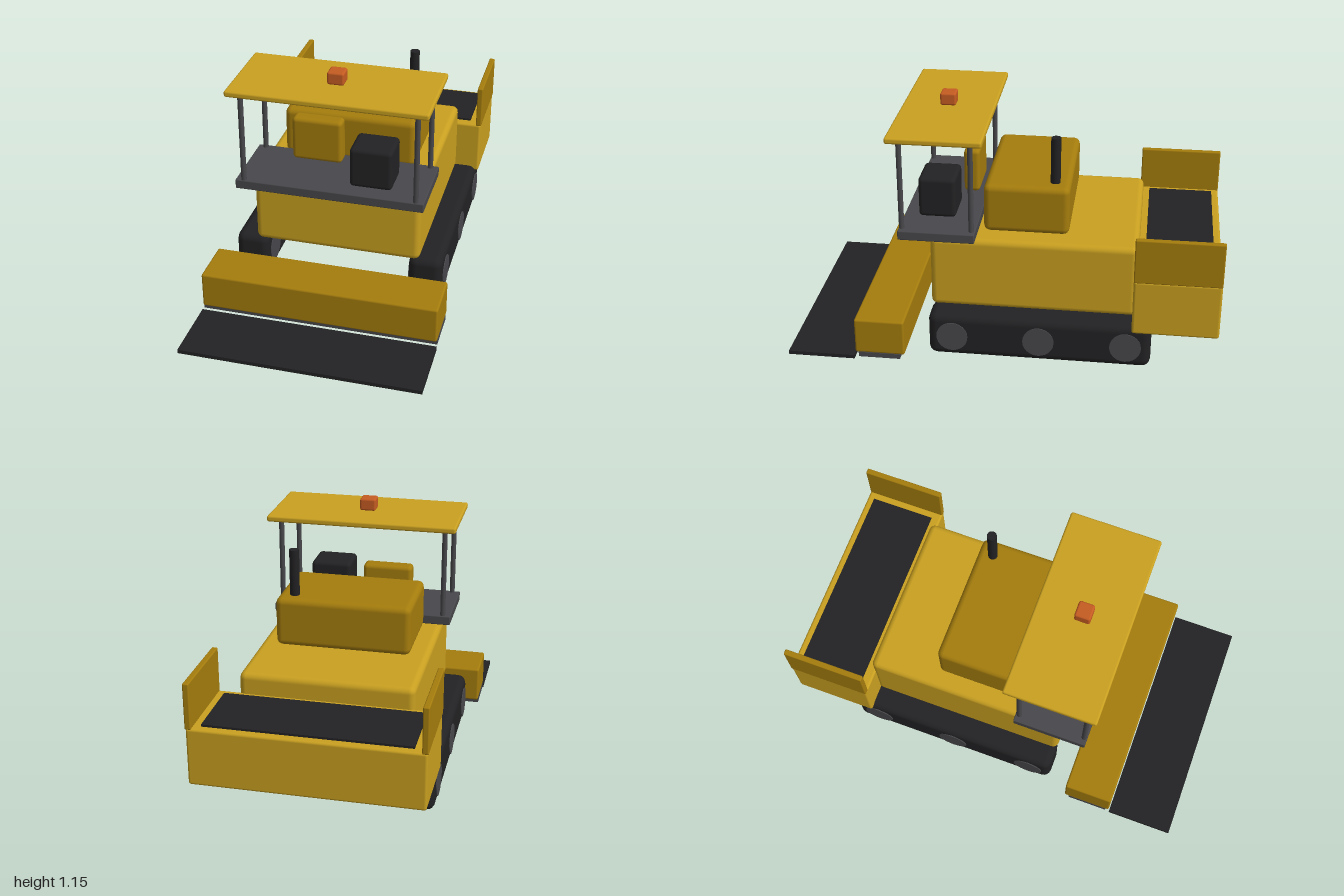
import * as THREE from 'three';
import { RoundedBoxGeometry } from 'three/addons/geometries/RoundedBoxGeometry.js';

const material = (name, color) => {
  const m = new THREE.MeshStandardMaterial({ color });
  m.name = name;
  return m;
};

export function createModel() {
  const model = new THREE.Group();
  model.name = 'roadPaver';

  const yellow = material('machine yellow', 0xc9a020);
  const amber = material('dark amber', 0xa57d0d);
  const black = material('rubber black', 0x222224);
  const grey = material('steel grey', 0x48484c);
  const orange = material('beacon orange', 0xc65c22);

  const add = (name, geometry, mat) => {
    const mesh = new THREE.Mesh(geometry, mat);
    mesh.name = name;
    model.add(mesh);
    return mesh;
  };
  // Box given by its limits on each axis, with optional rounded edges
  const box = (name, mat, [x0, x1], [y0, y1], [z0, z1], radius = 0) => {
    const size = [x1 - x0, y1 - y0, z1 - z0];
    const geometry = radius
      ? new RoundedBoxGeometry(...size, 2, radius)
      : new THREE.BoxGeometry(...size);
    add(name, geometry, mat).position.set((x0 + x1) / 2, (y0 + y1) / 2, (z0 + z1) / 2);
  };
  const post = (name, mat, radius, x, y0, y1, z) =>
    add(name, new THREE.CylinderGeometry(radius, radius, y1 - y0, 16), mat)
      .position.set(x, (y0 + y1) / 2, z);

  // Chassis, engine cover and exhaust
  box('body', yellow, [-0.4, 0.4], [0.225, 0.58], [-0.62, 0.34], 0.03);
  box('engineCover', amber, [-0.318, 0.318], [0.585, 0.82], [-0.297, 0.1], 0.03);
  post('exhaust', black, 0.023, 0.24, 0.8, 1.04, -0.225);

  // Material hopper at the back
  box('hopper', yellow, [-0.52, 0.52], [0.21, 0.48], [-1, -0.605], 0.012);
  box('hopperFloor', black, [-0.46, 0.46], [0.475, 0.49], [-0.965, -0.65]);

  // Operator platform
  box('platform', grey, [-0.44, 0.44], [0.58, 0.625], [0.125, 0.48], 0.005);
  box('controlConsole', amber, [-0.24, 0], [0.635, 0.85], [0.163, 0.24], 0.02);
  box('seat', black, [0.08, 0.278], [0.625, 0.82], [0.235, 0.41], 0.02);

  // Canopy and beacon
  box('canopy', yellow, [-0.46, 0.46], [1.06, 1.09], [0.083, 0.518], 0.01);
  box('beacon', orange, [-0.039, 0.039], [1.09, 1.15], [0.265, 0.34], 0.01);

  // Screed with its sole plate and the freshly laid mat
  box('screed', amber, [-0.558, 0.558], [0.035, 0.21], [0.443, 0.678], 0.01);
  box('screedPlate', grey, [-0.558, 0.558], [0.013, 0.037], [0.465, 0.662]);
  box('pavedMat', black, [-0.56, 0.56], [0, 0.018], [0.683, 1]);

  // Mirrored parts: tracks, wheels, hopper wings and canopy posts
  for (const side of [-1, 1]) {
    const span = (a, b) => (side > 0 ? [a, b] : [-b, -a]);
    box('track', black, span(0.345, 0.507), [0.018, 0.235], [-0.697, 0.338], 0.04);
    for (const z of [0.225, -0.178, -0.58]) {
      const wheel = add('trackWheel', new THREE.CylinderGeometry(0.073, 0.073, 0.17, 24), grey);
      wheel.rotation.z = Math.PI / 2;
      wheel.position.set(side * 0.426, 0.125, z);
    }
    box('hopperWing', amber, span(0.495, 0.523), [0.475, 0.69], [-1, -0.605], 0.006);
    for (const z of [0.143, 0.465]) post('canopyPost', grey, 0.0125, side * 0.402, 0.62, 1.065, z);
  }

  return model;
}
